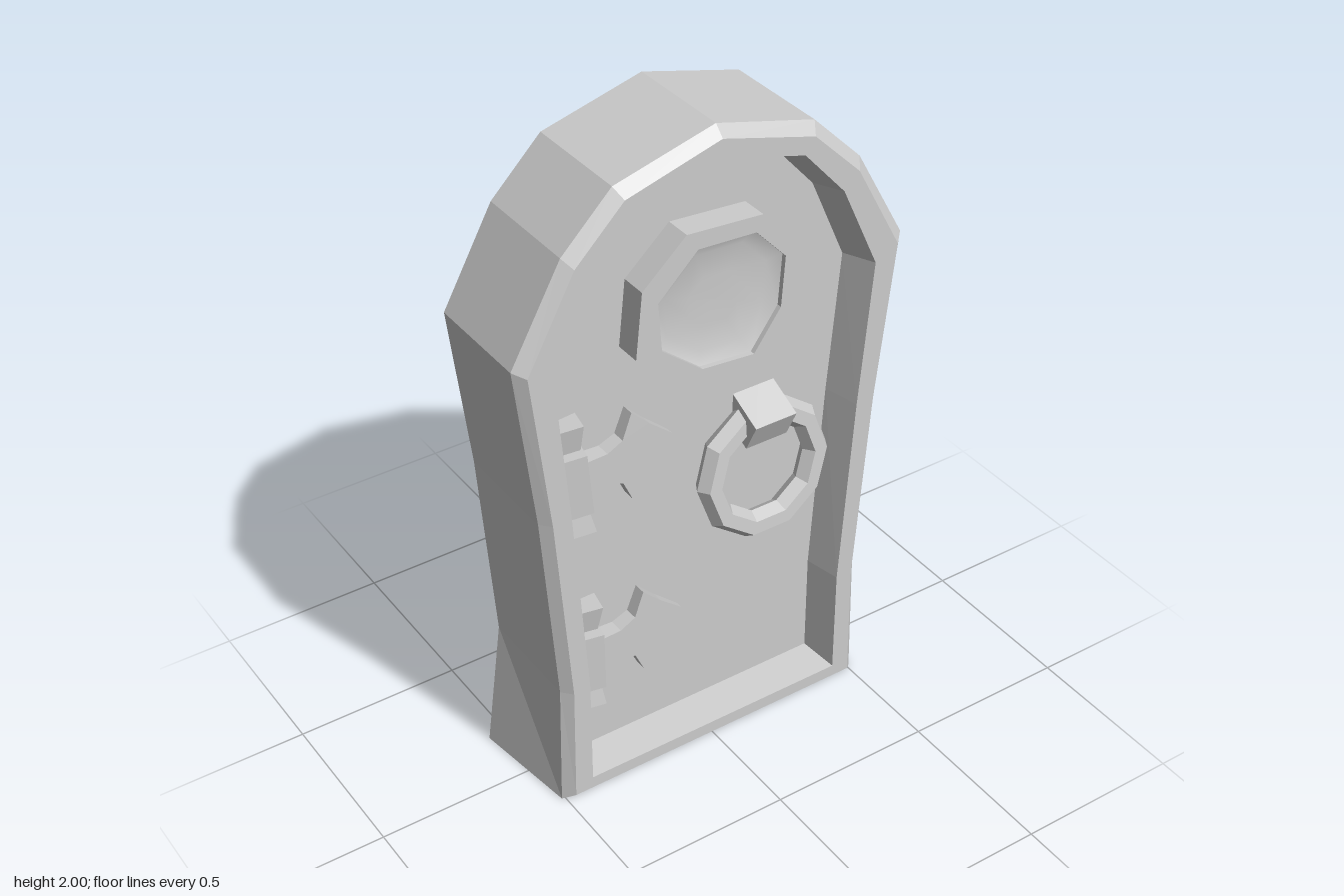
import * as THREE from 'three';
import { mergeVertices } from 'three/addons/utils/BufferGeometryUtils.js';

const flat = new THREE.MeshStandardMaterial({ color: 0xcccccc, flatShading: true, side: THREE.DoubleSide });
const smooth = new THREE.MeshStandardMaterial({ color: 0xcccccc, side: THREE.DoubleSide });

function add(parent, name, geometry, x = 0, y = 0, z = 0, material = flat) {
  const mesh = new THREE.Mesh(geometry, material);
  mesh.name = name;
  mesh.position.set(x, y, z);
  parent.add(mesh);
  return mesh;
}

// Mirrors the right half of an arch (bottom to apex) into a closed loop
const arch = (half) => [...half, ...half.slice(0, -1).reverse().map(([x, y]) => [-x, y])];

// Skins a series of closed loops, each lying at its own depth
function loft(loops) {
  const pos = [];
  for (let k = 0; k < loops.length - 1; k++) {
    const [a, za] = loops[k], [b, zb] = loops[k + 1];
    for (let i = 0; i < a.length; i++) {
      const j = (i + 1) % a.length;
      const p = [...a[i], za], q = [...a[j], za], r = [...b[j], zb], s = [...b[i], zb];
      pos.push(...p, ...q, ...r, ...p, ...r, ...s);
    }
  }
  const g = new THREE.BufferGeometry();
  g.setAttribute('position', new THREE.Float32BufferAttribute(pos, 3));
  g.computeVertexNormals();
  return g;
}

const toShape = (pts) => new THREE.Shape(pts.map(([x, y]) => new THREE.Vector2(x, y)));

function makeHinge(name, x, y, tilt) {
  const hinge = new THREE.Group();
  hinge.name = name;
  hinge.position.set(x, y, 0.09);
  // Barrel with a flared cap at each end
  const pin = new THREE.Group();
  pin.name = 'hingePin';
  pin.rotation.set(0, -0.2, tilt);
  hinge.add(pin);
  add(pin, 'hingeBarrel', new THREE.BoxGeometry(0.07, 0.19, 0.12));
  for (const s of [1, -1]) {
    const cap = new THREE.CylinderGeometry(0.058, 0.04, 0.08, 4).rotateY(Math.PI / 4);
    if (s < 0) cap.rotateX(Math.PI);
    add(pin, 'hingeCap', cap, 0, s * 0.135, 0);
  }
  // Arrow-headed strap, thinning toward its tip
  const outline = toShape([[0, -0.055], [0.1, -0.05], [0.15, -0.075], [0.18, -0.14], [0.225, -0.07],
    [0.315, 0.015], [0.24, 0.08], [0.18, 0.14], [0.15, 0.065], [0.1, 0.045], [0, 0.05]]);
  const strap = new THREE.ExtrudeGeometry(outline, { depth: 1, bevelEnabled: false });
  const p = strap.attributes.position;
  for (let i = 0; i < p.count; i++) p.setZ(i, (p.getZ(i) - 0.5) * (0.08 - 0.19 * p.getX(i)));
  add(hinge, 'hingeStrap', strap, 0, 0, -0.005);
  return hinge;
}

export function createModel() {
  const door = new THREE.Group();
  door.name = 'door';

  // Arched surround, open at the back, its foot flaring toward the back
  const upper = [[0.502, 0.4], [0.547, 1], [0.605, 1.495], [0.453, 1.77], [0.302, 1.92], [0, 2]];
  const back = arch([[0.555, 0], ...upper]);
  const outer = arch([[0.51, 0], ...upper]);
  const rim = arch([[0.48, 0.022], [0.475, 0.4], [0.52, 1], [0.575, 1.48], [0.432, 1.745], [0.285, 1.89], [0, 1.97]]);
  const lip = arch([[0.423, 0.06], [0.423, 0.4], [0.463, 1], [0.502, 1.445], [0.385, 1.7], [0.255, 1.845], [0, 1.917]]);
  const edge = arch([[0.4, 0.08], [0.4, 0.4], [0.438, 1], [0.475, 1.43], [0.365, 1.68], [0.245, 1.815], [0, 1.885]]);
  const panelZ = 0.07;
  add(door, 'frame', loft([[back, -0.18], [outer, 0.15], [rim, 0.18], [lip, 0.18], [edge, panelZ]]));

  // Door panel with an uneven eight-sided opening
  const hole = [[0.283, 1.53], [0.15, 1.695], [-0.085, 1.712], [-0.22, 1.59],
    [-0.24, 1.393], [-0.087, 1.25], [0.15, 1.215], [0.267, 1.355]];
  const inner = [[0.225, 1.546], [0.13, 1.648], [-0.05, 1.658], [-0.172, 1.54],
    [-0.161, 1.393], [-0.035, 1.29], [0.13, 1.276], [0.214, 1.393]];
  const panel = toShape(edge);
  panel.holes.push(toShape(hole));
  add(door, 'panel', new THREE.ShapeGeometry(panel), 0, 0, panelZ);

  // Window surround, backing and smooth pane
  add(door, 'windowFrame', loft([[hole, panelZ], [hole, 0.15], [inner, 0.15], [inner, 0.12]]));
  add(door, 'windowBacking', new THREE.ShapeGeometry(toShape(hole)), 0, 0, 0.11);
  const shrink = (k) => inner.map(([x, y]) => [0.02 + (x - 0.02) * k, 1.465 + (y - 1.465) * k]);
  const pane = loft([[inner, 0.135], [shrink(0.8), 0.118], [shrink(0.4), 0.114], [shrink(0.001), 0.113]]);
  pane.deleteAttribute('normal');
  const smoothPane = mergeVertices(pane, 0.002);
  smoothPane.computeVertexNormals();
  add(door, 'windowPane', smoothPane, 0, 0, 0, smooth);

  // Knocker ring hanging from its tilted block
  add(door, 'knockerRing', new THREE.TorusGeometry(0.178, 0.04, 6, 10), 0.19, 0.865, 0.117).rotation.x = -0.1;
  add(door, 'knockerBlock', new THREE.BoxGeometry(0.135, 0.1, 0.2), 0.188, 1.05, 0.068).rotation.x = 0.45;

  // Hinges
  door.add(makeHinge('upperHinge', -0.41, 1.063, 0.08));
  door.add(makeHinge('lowerHinge', -0.38, 0.445, 0.01));
  return door;
}
